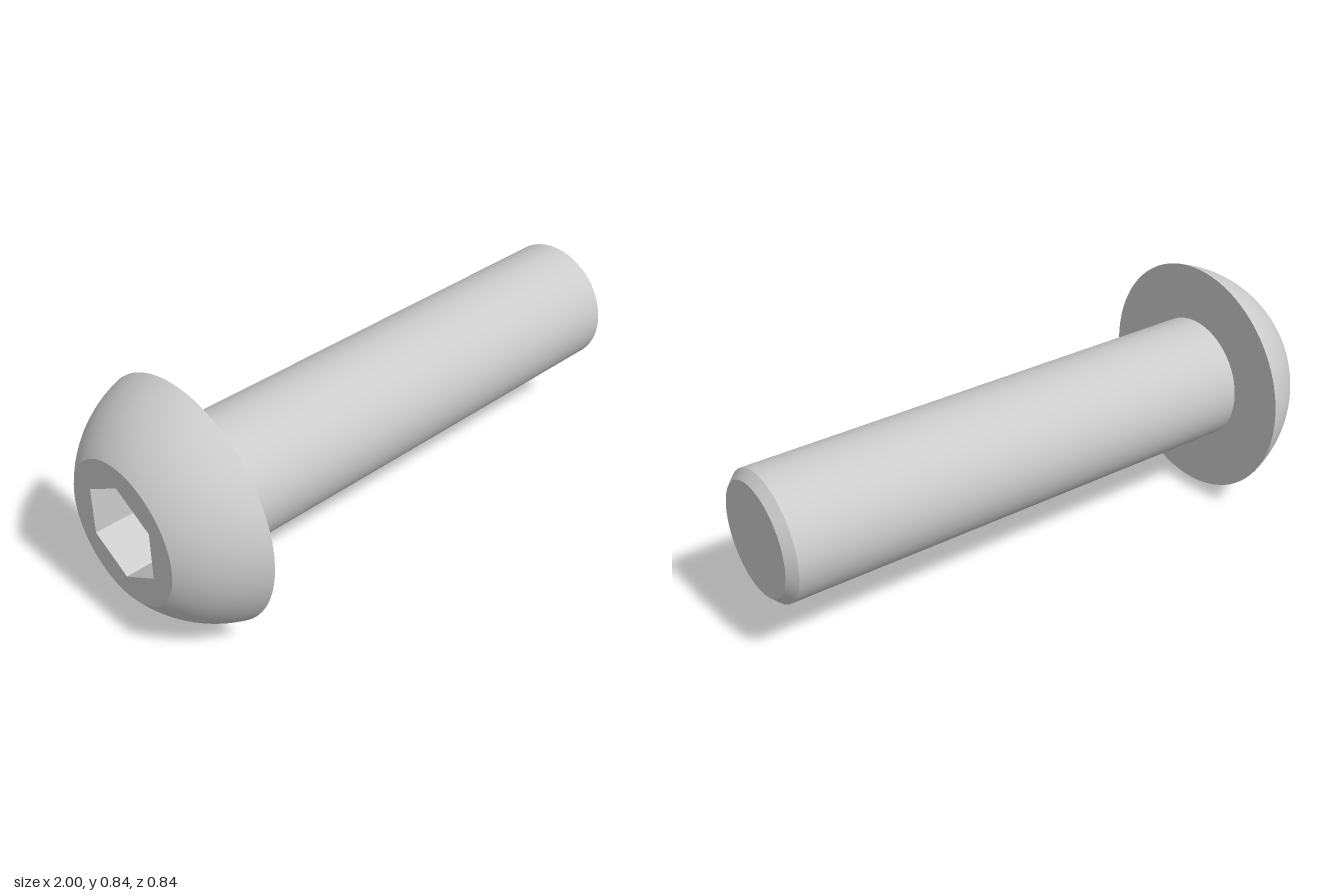
import * as THREE from 'three';

const SEGMENTS = 96;
const HEAD_R = 0.418, FACE_R = 0.243, SHANK_R = 0.219, TIP_R = 0.19;
const FACE_X = -1, SEAT_X = -0.763, CHAMFER_X = 0.97, TIP_X = 1;
const HEX_R = 0.292 / Math.sqrt(3), HEX_DEPTH = 0.158;

export function createModel() {
  const bolt = new THREE.Group();
  bolt.name = 'buttonHeadBolt';
  bolt.position.y = HEAD_R;
  const grey = new THREE.MeshStandardMaterial({ color: 0xcccccc });

  const add = (parent, name, geometry, material = grey) => {
    const mesh = new THREE.Mesh(geometry, material);
    mesh.name = name;
    parent.add(mesh);
    return mesh;
  };
  // Surface turned about the x axis from [x, radius] pairs
  const turned = (parent, name, profile) => {
    const points = profile.map(([x, r]) => new THREE.Vector2(r, x));
    add(parent, name, new THREE.LatheGeometry(points, SEGMENTS).rotateZ(-Math.PI / 2));
  };

  // Head: spherical dome centred on the axis, with a flat underside
  const head = new THREE.Group();
  head.name = 'head';
  const centreX = (SEAT_X ** 2 + HEAD_R ** 2 - FACE_X ** 2 - FACE_R ** 2) / (2 * (SEAT_X - FACE_X));
  const domeR = Math.hypot(SEAT_X - centreX, HEAD_R);
  const a0 = Math.atan2(FACE_R, FACE_X - centreX);
  const a1 = Math.atan2(HEAD_R, SEAT_X - centreX);
  const arc = Array.from({ length: 17 }, (_, i) => {
    const a = a0 + (a1 - a0) * i / 16;
    return [centreX + domeR * Math.cos(a), domeR * Math.sin(a)];
  });
  turned(head, 'dome', arc);
  turned(head, 'headUnderside', [[SEAT_X, HEAD_R], [SEAT_X, SHANK_R]]);

  // Flat head face with a hexagonal opening
  const face = new THREE.Shape().absarc(0, 0, FACE_R, 0, Math.PI * 2);
  const hex = Array.from({ length: 6 }, (_, i) => {
    const a = Math.PI / 6 - i * Math.PI / 3;
    return new THREE.Vector2(HEX_R * Math.cos(a), HEX_R * Math.sin(a));
  });
  face.holes.push(new THREE.Path(hex));
  add(head, 'headFace', new THREE.ShapeGeometry(face, SEGMENTS / 2)
    .rotateY(-Math.PI / 2).translate(FACE_X, 0, 0));

  // Hex socket: inward-facing walls and a flat floor
  const inside = new THREE.MeshStandardMaterial({
    color: 0xcccccc, flatShading: true, side: THREE.DoubleSide,
  });
  add(head, 'socketWalls',
    new THREE.CylinderGeometry(HEX_R, HEX_R, HEX_DEPTH, 6, 1, true, Math.PI / 6)
      .rotateZ(-Math.PI / 2).translate(FACE_X + HEX_DEPTH / 2, 0, 0), inside);
  add(head, 'socketFloor', new THREE.CircleGeometry(HEX_R, 6, Math.PI / 6)
    .rotateY(-Math.PI / 2).translate(FACE_X + HEX_DEPTH, 0, 0));

  // Shank with a chamfered tip
  const shank = new THREE.Group();
  shank.name = 'shank';
  turned(shank, 'shankBody', [[SEAT_X, SHANK_R], [CHAMFER_X, SHANK_R]]);
  turned(shank, 'tipChamfer', [[CHAMFER_X, SHANK_R], [TIP_X, TIP_R]]);
  add(shank, 'tipFace', new THREE.CircleGeometry(TIP_R, SEGMENTS)
    .rotateY(Math.PI / 2).translate(TIP_X, 0, 0));

  bolt.add(head, shank);
  const model = new THREE.Group();
  model.name = 'bolt';
  model.add(bolt);
  return model;
}
